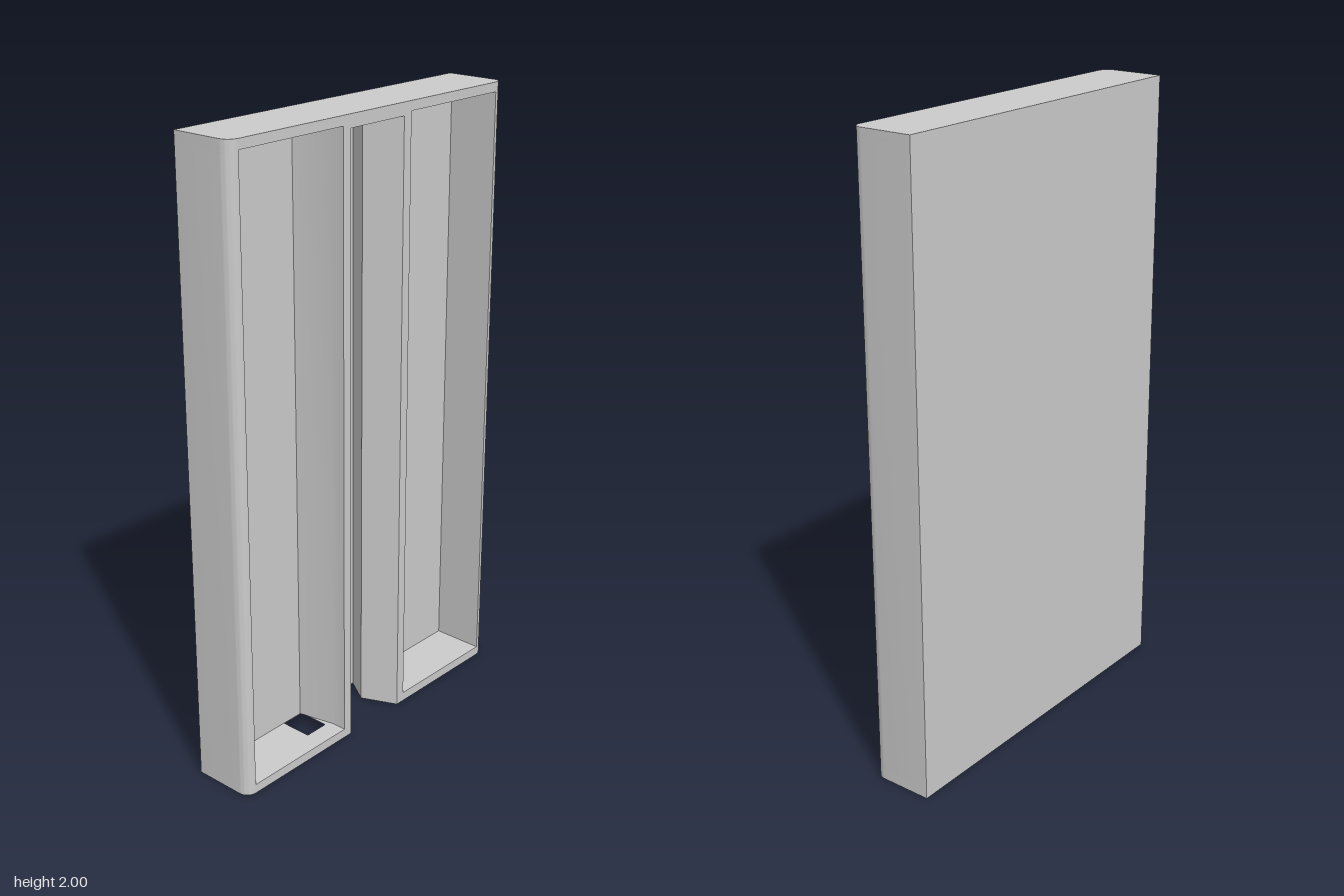
import * as THREE from 'three';
import { toCreasedNormals } from 'three/addons/utils/BufferGeometryUtils.js';

const W = 0.585, BACK = -0.105, FRONT = 0.1, R = 0.035;

// Half-profiles as [x, z], running from the outer side towards the middle
const corner = [];
for (let i = 0; i <= 8; i++) {
  const a = (i / 8) * Math.PI / 2;
  corner.push([W - R + R * Math.cos(a), FRONT - R + R * Math.sin(a)]);
}
const pocket = [[0.55, -0.07], [0.174, -0.07], [0.147, 0.05], [0.147, FRONT]];
// Channel: narrow throat, undercut sides and a central ridge on its floor
const channel = [[0.115, FRONT], [0.065, -0.015], [0.117, -0.098], [0.088, -0.098], [0, -0.05]];

// Mirrored cross-section extruded upwards from y0 to y1
function layer(name, y0, y1, material, { pockets, grooved, hole }) {
  const half = [[W, BACK], ...corner, ...(pockets ? pocket : []), ...(grooved ? channel : [])];
  const mirrored = half.filter(([x]) => x > 0).reverse().map(([x, z]) => [-x, z]);
  const shape = new THREE.Shape([...half, ...mirrored].map(([x, z]) => new THREE.Vector2(x, -z)));
  if (hole) {
    const [x0, x1, z0, z1] = hole;
    shape.holes.push(new THREE.Path([[x0, z0], [x1, z0], [x1, z1], [x0, z1]]
      .map(([x, z]) => new THREE.Vector2(x, -z))));
  }
  const geo = new THREE.ExtrudeGeometry(shape, { depth: y1 - y0, bevelEnabled: false });
  geo.rotateX(-Math.PI / 2);
  geo.translate(0, y0, 0);
  const mesh = new THREE.Mesh(toCreasedNormals(geo, 0.4), material);
  mesh.name = name;
  return mesh;
}

export function createModel() {
  const group = new THREE.Group();
  group.name = 'channelledTray';
  const material = new THREE.MeshStandardMaterial({ color: 0xcccccc });
  group.add(
    // Bottom wall, open at the channel, with a rectangular slot into the right pocket
    layer('bottomWall', 0, 0.03, material, { grooved: true, hole: [-0.25, -0.168, -0.068, 0.035] }),
    // Main body with two open pockets and the channel
    layer('body', 0.03, 1.96, material, { pockets: true, grooved: true }),
    // Channel end stop
    layer('channelStop', 1.96, 1.97, material, { pockets: true }),
    // Closed top wall
    layer('topWall', 1.97, 2, material, {}),
  );
  return group;
}
